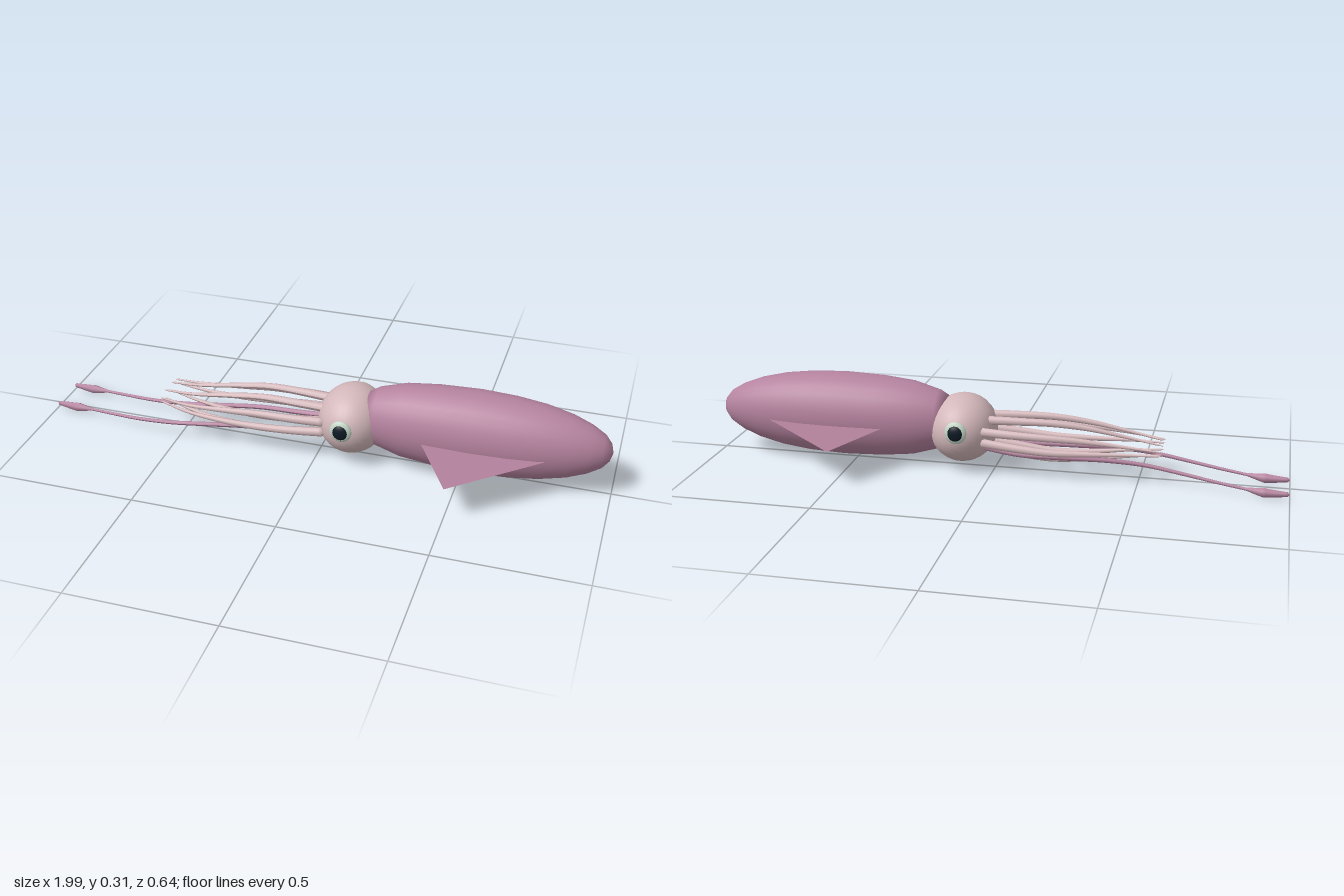
import * as THREE from 'three';

const mat = (name, color, side = THREE.FrontSide) => {
  const m = new THREE.MeshStandardMaterial({ color, side });
  m.name = name;
  return m;
};

// Tube along a smooth path whose radius follows radiusAt(u)
function taperedTube(points, radiusAt, segments, sides) {
  const path = new THREE.CatmullRomCurve3(points.map(p => new THREE.Vector3(...p)));
  const geo = new THREE.TubeGeometry(path, segments, 1, sides);
  const pos = geo.attributes.position;
  const v = new THREE.Vector3();
  for (let i = 0; i <= segments; i++) {
    const u = i / segments;
    const centre = path.getPointAt(u);
    for (let j = 0; j <= sides; j++) {
      const k = i * (sides + 1) + j;
      v.fromBufferAttribute(pos, k).sub(centre).multiplyScalar(radiusAt(u)).add(centre);
      pos.setXYZ(k, v.x, v.y, v.z);
    }
  }
  geo.computeVertexNormals();
  return geo;
}

// Linear interpolation through [u, value] pairs
function ramp(stops, u) {
  for (let i = 1; i < stops.length; i++) {
    const [a, ra] = stops[i - 1], [b, rb] = stops[i];
    if (u <= b) return ra + (rb - ra) * (u - a) / (b - a);
  }
  return stops[stops.length - 1][1];
}

export function createModel() {
  const squid = new THREE.Group();
  squid.name = 'squid';

  const mauve = mat('mauve skin', 0xb5839f);
  const finSkin = mat('fin skin', 0xb07f99, THREE.DoubleSide);
  const pale = mat('pale pink skin', 0xd3b7ba);
  const eyeWhite = mat('pale green eye', 0xc6d8c8);
  const black = mat('dark pupil', 0x0e1a26);

  const add = (name, geo, material, parent = squid) => {
    const mesh = new THREE.Mesh(geo, material);
    mesh.name = name;
    parent.add(mesh);
    return mesh;
  };

  // Mantle: turned profile laid along x, narrowed in z
  const profile = [
    [0, 0.165], [0.085, 0.168], [0.104, 0.2], [0.13, 0.29], [0.142, 0.4], [0.147, 0.54], [0.142, 0.66],
    [0.13, 0.76], [0.109, 0.85], [0.084, 0.915], [0.057, 0.96], [0.03, 0.982], [0, 0.99],
  ].map(p => new THREE.Vector2(...p));
  const mantle = new THREE.LatheGeometry(profile, 28);
  mantle.rotateZ(-Math.PI / 2).scale(1, 1, 0.85).translate(0, 0.163, 0);
  add('mantle', mantle, mauve);

  // Head
  const head = new THREE.SphereGeometry(1, 28, 20);
  head.scale(0.118, 0.118, 0.135).translate(0.113, 0.142, 0);
  add('head', head, pale);

  for (const s of [1, -1]) {
    const side = s > 0 ? 'front' : 'back';

    // Triangular fin
    const fin = new THREE.BufferGeometry();
    fin.setAttribute('position', new THREE.Float32BufferAttribute(
      [[0.37, 0.153, s * 0.105], [0.5, 0.131, s * 0.32], [0.785, 0.153, s * 0.105]].flat(), 3));
    fin.setIndex(s > 0 ? [0, 1, 2] : [0, 2, 1]);
    fin.computeVertexNormals();
    add(side + 'Fin', fin, finSkin);

    // Eye and pupil
    const eye = new THREE.SphereGeometry(1, 20, 14);
    eye.scale(0.038, 0.039, 0.015).translate(0.108, 0.164, s * 0.139);
    add(side + 'Eye', eye, eyeWhite);
    const pupil = new THREE.SphereGeometry(1, 18, 12);
    pupil.scale(0.026, 0.027, 0.012).translate(0.108, 0.164, s * 0.148);
    add(side + 'Pupil', pupil, black);

    // Long feeding tentacle ending in a faceted club
    const path = [
      [0.04, 0.095, s * 0.06], [-0.1, 0.08, s * 0.066 - 0.006], [-0.25, 0.078, s * 0.0675],
      [-0.4, 0.072, s * 0.0675 + 0.022], [-0.52, 0.062, s * 0.0675 + 0.031],
      [-0.65, 0.046, s * 0.0675 + 0.018], [-0.76, 0.034, s * 0.0675 - 0.003], [-0.86, 0.025, s * 0.0675 - 0.022],
    ];
    const stops = [[0, 0], [0.02, 0.01], [0.5, 0.008], [1, 0.005]];
    add(side + 'Tentacle', taperedTube(path, u => ramp(stops, u), 40, 7), mauve);
    const clubPath = [
      [-0.85, 0.026, s * 0.0675 - 0.02], [-0.92, 0.02, s * 0.0675 - 0.029], [-1, 0.022, s * 0.0675 - 0.034],
    ];
    const clubStops = [[0, 0.004], [0.45, 0.017], [0.97, 0.008], [1, 0]];
    add(side + 'Club', taperedTube(clubPath, u => ramp(clubStops, u), 20, 6), mauve);
  }

  // Eight arms on a ring: [x, centre y, ring height, ring depth, sideways drift]
  const stations = [
    [0.04, 0.135, 0.05, 0.09, 0], [-0.08, 0.13, 0.06, 0.1, 0], [-0.2, 0.125, 0.067, 0.1, 0],
    [-0.32, 0.122, 0.058, 0.094, 0.006], [-0.46, 0.12, 0.036, 0.086, 0.004], [-0.58, 0.121, 0.017, 0.075, -0.015],
  ];
  const armStops = [[0, 0], [0.02, 0.016], [0.5, 0.011], [0.98, 0.003], [1, 0]];
  const arms = new THREE.Group();
  arms.name = 'arms';
  squid.add(arms);
  for (let k = 0; k < 8; k++) {
    const a = (k + 0.5) * Math.PI / 4;
    const path = stations.map(([x, y, h, d, drift]) => [x, y + h * Math.sin(a), d * Math.cos(a) + drift]);
    add('arm' + (k + 1), taperedTube(path, u => ramp(armStops, u), 50, 8), pale, arms);
  }
  return squid;
}
